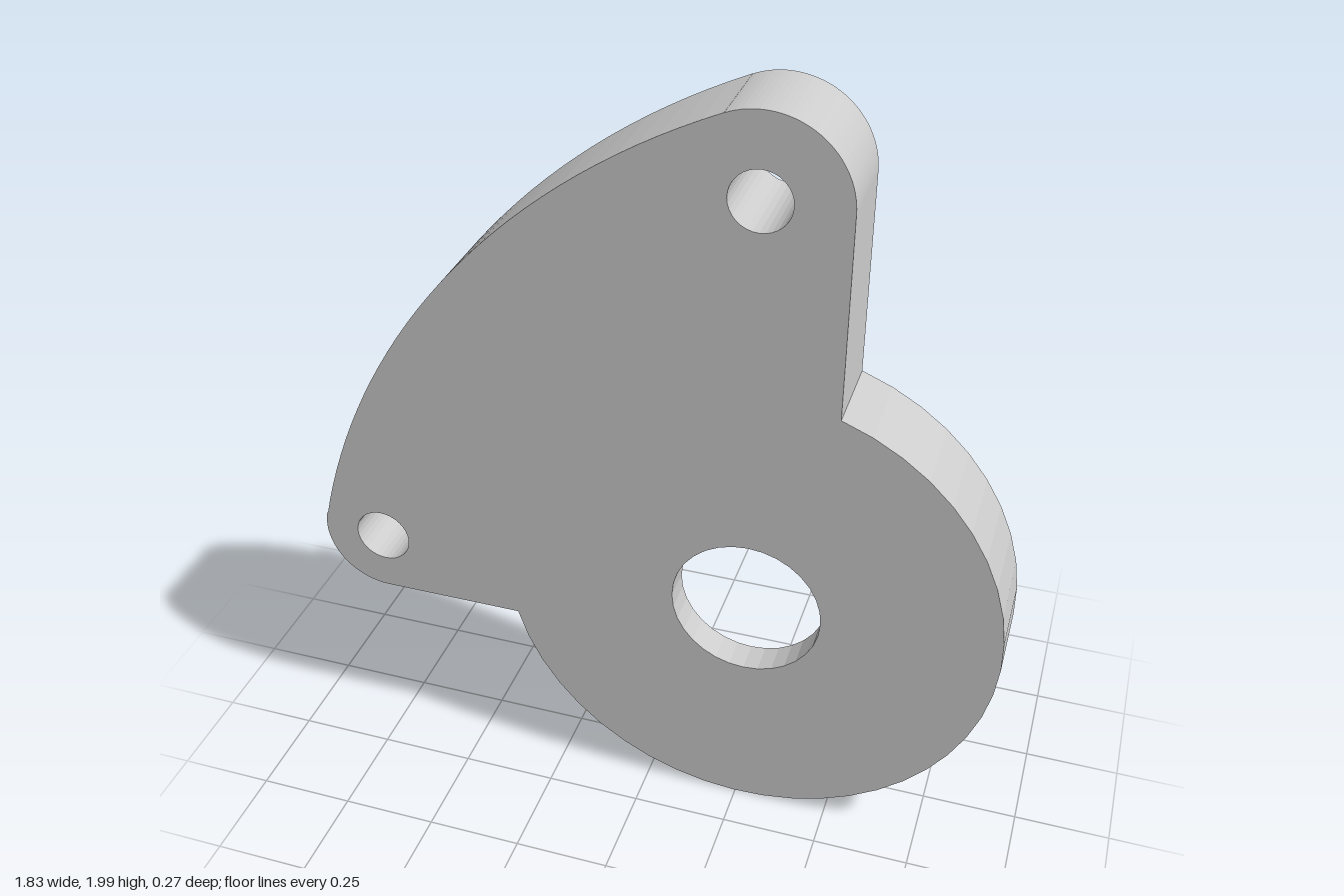
import * as THREE from 'three';

// Key centres in the front plane
const hub = new THREE.Vector2(0.26, 0.655);
const topEar = new THREE.Vector2(0.26, 1.79);
const sideEar = new THREE.Vector2(-0.75, 0.655);
const sweep = new THREE.Vector2(0.95, 0.228);   // centre of the long outer arc

const HUB_R = 0.65, TOP_R = 0.21, SIDE_R = 0.167, SWEEP_R = 1.918;
const HOLE_R = 0.075, BOSS_R = 0.125, CLEAR_R = 0.235;
const FRONT = 0.135, FLOOR = 0.05, BACK = -0.095, BOSS_BACK = -0.135;

const angle = (from, to) => Math.atan2(to.y - from.y, to.x - from.x);

// One of the two crossing points of two circles
function meet(a, ra, b, rb, side) {
  const d = b.clone().sub(a), len = d.length();
  d.divideScalar(len);
  const along = (ra * ra - rb * rb + len * len) / (2 * len);
  const off = side * Math.sqrt(ra * ra - along * along);
  return new THREE.Vector2(a.x + d.x * along - d.y * off, a.y + d.y * along + d.x * off);
}

function arc(path, c, r, start, end, clockwise = false) {
  path.absarc(c.x, c.y, r, start, end, clockwise);
}

function circle(c, r, Kind = THREE.Path) {
  const path = new Kind();
  path.absarc(c.x, c.y, r, 0, Math.PI * 2, false);
  return path;
}

// Outer contour: round hub, two ears and the long arc between them
function outline() {
  const s = new THREE.Shape();
  const right = topEar.x + TOP_R, bottom = sideEar.y - SIDE_R;
  const hubTop = new THREE.Vector2(right, hub.y + Math.sqrt(HUB_R ** 2 - (right - hub.x) ** 2));
  const hubLeft = new THREE.Vector2(hub.x - Math.sqrt(HUB_R ** 2 - (bottom - hub.y) ** 2), bottom);
  const a = angle(sweep, topEar), b = angle(sweep, sideEar);
  s.moveTo(hubTop.x, hubTop.y);
  arc(s, topEar, TOP_R, 0, a);
  arc(s, sweep, SWEEP_R, a, b);
  arc(s, sideEar, SIDE_R, b, Math.PI * 1.5);
  arc(s, hub, HUB_R, angle(hub, hubLeft), angle(hub, hubTop));
  return s;
}

// Filleted pocket between the hub, the ears and the long arc
function slot() {
  const right = 0.362, outer = SWEEP_R - 0.12;
  const r1 = 0.06, r2 = 0.05, r3 = 0.045, r4 = 0.04, r5 = 0.09;
  const x1 = right - r1, x2 = right - r2;
  const f1 = new THREE.Vector2(x1, hub.y + Math.sqrt((HUB_R + r1) ** 2 - (x1 - hub.x) ** 2));
  const f2 = new THREE.Vector2(x2, topEar.y - Math.sqrt((CLEAR_R + r2) ** 2 - (x2 - topEar.x) ** 2));
  const f3 = meet(topEar, CLEAR_R + r3, sweep, outer - r3, -1);
  const f4 = meet(sideEar, CLEAR_R + r4, sweep, outer - r4, 1);
  const f5 = meet(hub, HUB_R + r5, sideEar, CLEAR_R + r5, -1);
  const p = new THREE.Path();
  arc(p, f1, r1, angle(f1, hub), 0);
  arc(p, f2, r2, 0, angle(f2, topEar));
  arc(p, topEar, CLEAR_R, angle(topEar, f2), angle(topEar, f3), true);
  arc(p, f3, r3, angle(f3, topEar), angle(sweep, f3));
  arc(p, sweep, outer, angle(sweep, f3), angle(sweep, f4));
  arc(p, f4, r4, angle(sweep, f4), angle(f4, sideEar));
  arc(p, sideEar, CLEAR_R, angle(sideEar, f4), angle(sideEar, f5), true);
  arc(p, f5, r5, angle(f5, sideEar), angle(f5, hub));
  arc(p, hub, HUB_R, angle(hub, f5), angle(hub, f1), true);
  return p;
}

export function createModel() {
  const group = new THREE.Group();
  group.name = 'mountingCover';
  const material = new THREE.MeshStandardMaterial({ color: 0xcccccc });

  function slab(name, shape, holes, z0, z1) {
    shape.holes.push(...holes);
    const geometry = new THREE.ExtrudeGeometry(shape, {
      depth: z1 - z0, bevelEnabled: false, curveSegments: 16,
    });
    geometry.translate(0, 0, z0);
    const mesh = new THREE.Mesh(geometry, material);
    mesh.name = name;
    group.add(mesh);
  }

  const earHoles = () => [circle(topEar, HOLE_R), circle(sideEar, HOLE_R)];

  // Closed front plate with the shaft hole and two screw holes
  slab('frontPlate', outline(), [circle(hub, 0.195), ...earHoles()], FLOOR, FRONT);

  // Back rim enclosing the round recess and the curved pocket
  slab('backRim', outline(), [circle(hub, 0.54), slot(), ...earHoles()], BACK, FLOOR);

  // Raised rings around the screw holes
  slab('topBoss', circle(topEar, BOSS_R, THREE.Shape), [circle(topEar, HOLE_R)], BOSS_BACK, BACK);
  slab('sideBoss', circle(sideEar, BOSS_R, THREE.Shape), [circle(sideEar, HOLE_R)], BOSS_BACK, BACK);

  return group;
}
